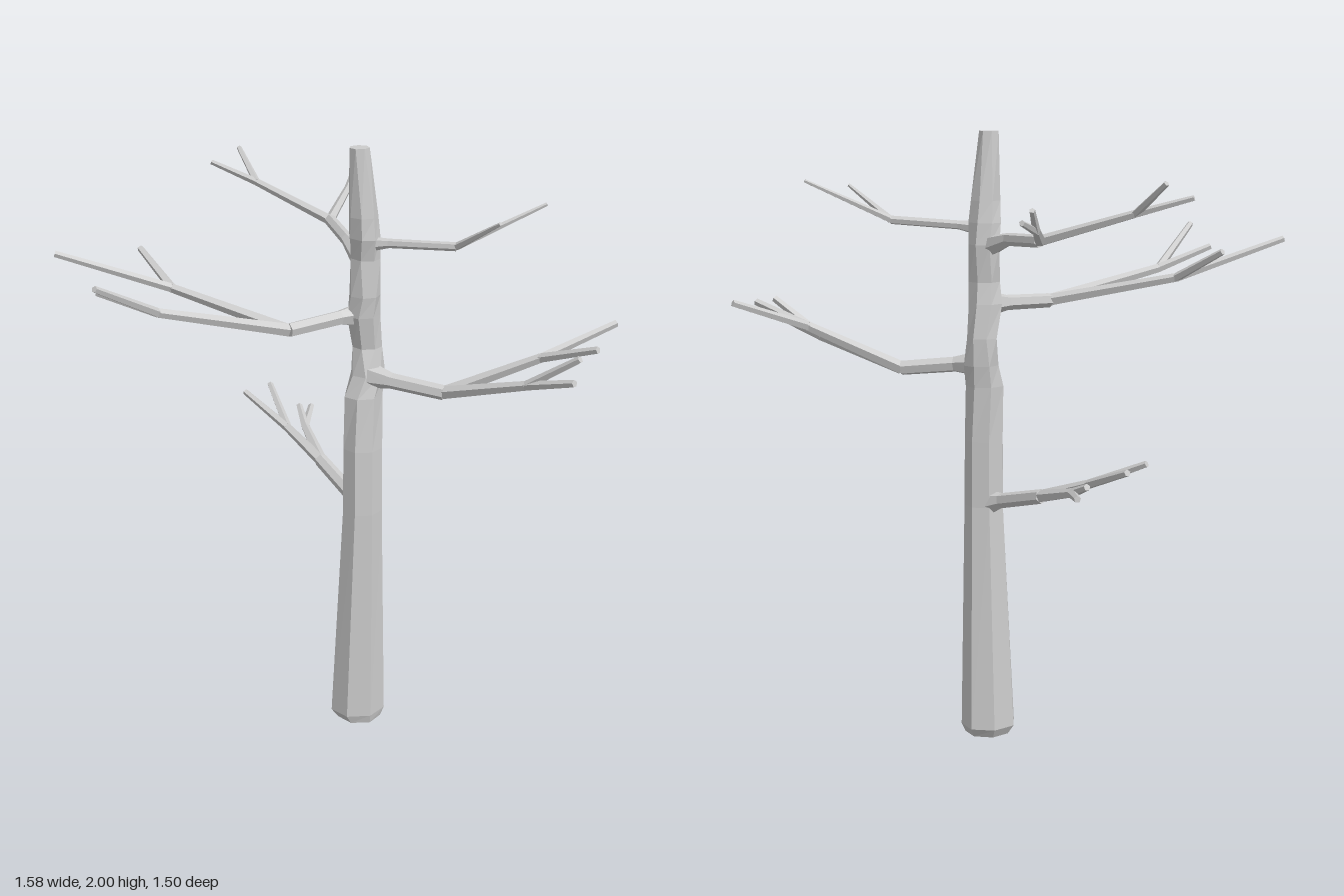
import * as THREE from 'three';

const material = new THREE.MeshStandardMaterial({ color: 0xcccccc, flatShading: true });
const V = (p) => new THREE.Vector3(p[0], p[1], p[2]);

// Skin a list of rings (equal point counts, counter-clockwise about the path) and cap both ends.
function loft(rings, name) {
  const n = rings[0].length, pos = [];
  const tri = (...pts) => pts.forEach((p) => pos.push(p.x, p.y, p.z));
  for (let i = 0; i < rings.length - 1; i++) {
    const a = rings[i], b = rings[i + 1];
    for (let k = 0; k < n; k++) {
      const m = (k + 1) % n;
      tri(a[k], a[m], b[m]);
      tri(a[k], b[m], b[k]);
    }
  }
  const first = rings[0], last = rings[rings.length - 1];
  for (let k = 1; k < n - 1; k++) {
    tri(first[0], first[k + 1], first[k]);
    tri(last[0], last[k], last[k + 1]);
  }
  const geo = new THREE.BufferGeometry();
  geo.setAttribute('position', new THREE.Float32BufferAttribute(pos, 3));
  geo.computeVertexNormals();
  const mesh = new THREE.Mesh(geo, material);
  mesh.name = name;
  return mesh;
}

// Five-sided limb along a path of points, one radius per point.
function limb(points, radii, name, sides = 5) {
  const pts = points.map(V);
  const rings = pts.map((p, i) => {
    const dir = pts[Math.min(i + 1, pts.length - 1)].clone().sub(pts[Math.max(i - 1, 0)]).normalize();
    const u = new THREE.Vector3(0, 1, 0).cross(dir).normalize();
    const v = dir.clone().cross(u);
    return Array.from({ length: sides }, (_, k) => {
      const t = (k / sides) * Math.PI * 2 + 0.3;
      return p.clone().addScaledVector(u, radii[i] * Math.cos(t)).addScaledVector(v, radii[i] * Math.sin(t));
    });
  });
  return loft(rings, name);
}

// Trunk rings: y, min x, max x, min z, max z
const TRUNK = [
  [0, 0.055, 0.2, -0.02, 0.125], [0.03, 0.033, 0.218, -0.038, 0.132],
  [0.78, 0.062, 0.192, 0.0, 0.128], [1.0, 0.066, 0.196, -0.004, 0.118],
  [1.18, 0.072, 0.2, -0.01, 0.105], [1.25, 0.1, 0.212, -0.012, 0.1],
  [1.34, 0.112, 0.208, -0.018, 0.08], [1.45, 0.085, 0.195, -0.015, 0.09],
  [1.52, 0.09, 0.19, -0.005, 0.098], [1.64, 0.1, 0.192, -0.018, 0.092],
  [1.71, 0.09, 0.185, -0.012, 0.103], [1.78, 0.085, 0.178, 0.0, 0.096],
  [2, 0.086, 0.15, 0.012, 0.075],
];

function trunk() {
  const sides = 7;
  return loft(TRUNK.map(([y, x0, x1, z0, z1], i) => Array.from({ length: sides }, (_, k) => {
    const t = (k / sides) * Math.PI * 2 + (i > 3 ? 0.12 * (i % 3) : 0);
    return new THREE.Vector3((x0 + x1) / 2 + ((x1 - x0) / 2) * 1.03 * Math.sin(t), y,
      (z0 + z1) / 2 + ((z1 - z0) / 2) * 1.03 * Math.cos(t));
  })), 'trunk');
}

// Each branch: stem path from the trunk, stem radius, tip radius, then forks of [node, tip, tip].
const BRANCHES = [
  { name: 'leftLowBranch', stem: [[0.15, 1.25, 0.06], [0.19, 1.245, 0.14], [0.3, 1.228, 0.28]], r: 0.026, tip: 0.012,
    forks: [[[0.53, 1.365, 0.48], [0.785, 1.455, 0.53], [0.603, 1.435, 0.675]],
      [[0.42, 1.315, 0.56], [0.465, 1.37, 0.745], [0.5, 1.435, 0.722]]] },
  { name: 'rightBranch', stem: [[0.14, 1.45, 0.03], [0.06, 1.448, 0.025], [-0.135, 1.44, 0.04]], r: 0.025, tip: 0.011,
    forks: [[[-0.54, 1.53, -0.064], [-0.71, 1.6, -0.142], [-0.788, 1.665, 0.03]],
      [[-0.375, 1.525, -0.31], [-0.71, 1.645, -0.475], [-0.402, 1.62, -0.493]]] },
  { name: 'backTopBranch', stem: [[0.14, 1.635, 0.02], [0.16, 1.665, -0.1], [0.222, 1.675, -0.32]], r: 0.021, tip: 0.009,
    forks: [[[0.41, 1.725, -0.52], [0.505, 1.755, -0.567], [0.475, 1.79, -0.577]],
      [[0.09, 1.765, -0.6], [-0.005, 1.815, -0.75], [0.092, 1.86, -0.732]]] },
  { name: 'backLowBranch', stem: [[0.13, 0.79, 0.04], [0.132, 0.808, -0.03], [0.135, 0.855, -0.23]], r: 0.025, tip: 0.011,
    forks: [[[0.107, 0.92, -0.42], [0.165, 1.0, -0.655], [0.042, 1.005, -0.612]],
      [[0.185, 0.905, -0.43], [0.287, 0.922, -0.568], [0.22, 0.945, -0.537]]] },
  { name: 'frontTopBranch', stem: [[0.14, 1.69, 0.06], [0.185, 1.7, 0.12], [0.32, 1.713, 0.3]], r: 0.015, tip: 0.006,
    forks: [[[0.577, 1.842, 0.415]], [[0.358, 1.82, 0.48]]] },
];

function branch({ name, stem, r, tip, forks }) {
  const g = new THREE.Group();
  g.name = name;
  const joint = stem[2], mid = r * 0.62;
  // Flared collar at the trunk
  g.add(limb(stem, [r * 1.7, r, r * 0.95], 'stem', 6));
  for (const [node, ...tips] of forks) {
    g.add(limb([joint, node], [r * 0.85, tips.length ? mid : tip], 'fork'));
    for (const end of tips) g.add(limb([node, end], [mid, tip], 'twig'));
  }
  return g;
}

export function createModel() {
  const model = new THREE.Group();
  model.name = 'bareTree';
  model.add(trunk(), ...BRANCHES.map(branch));
  return model;
}
